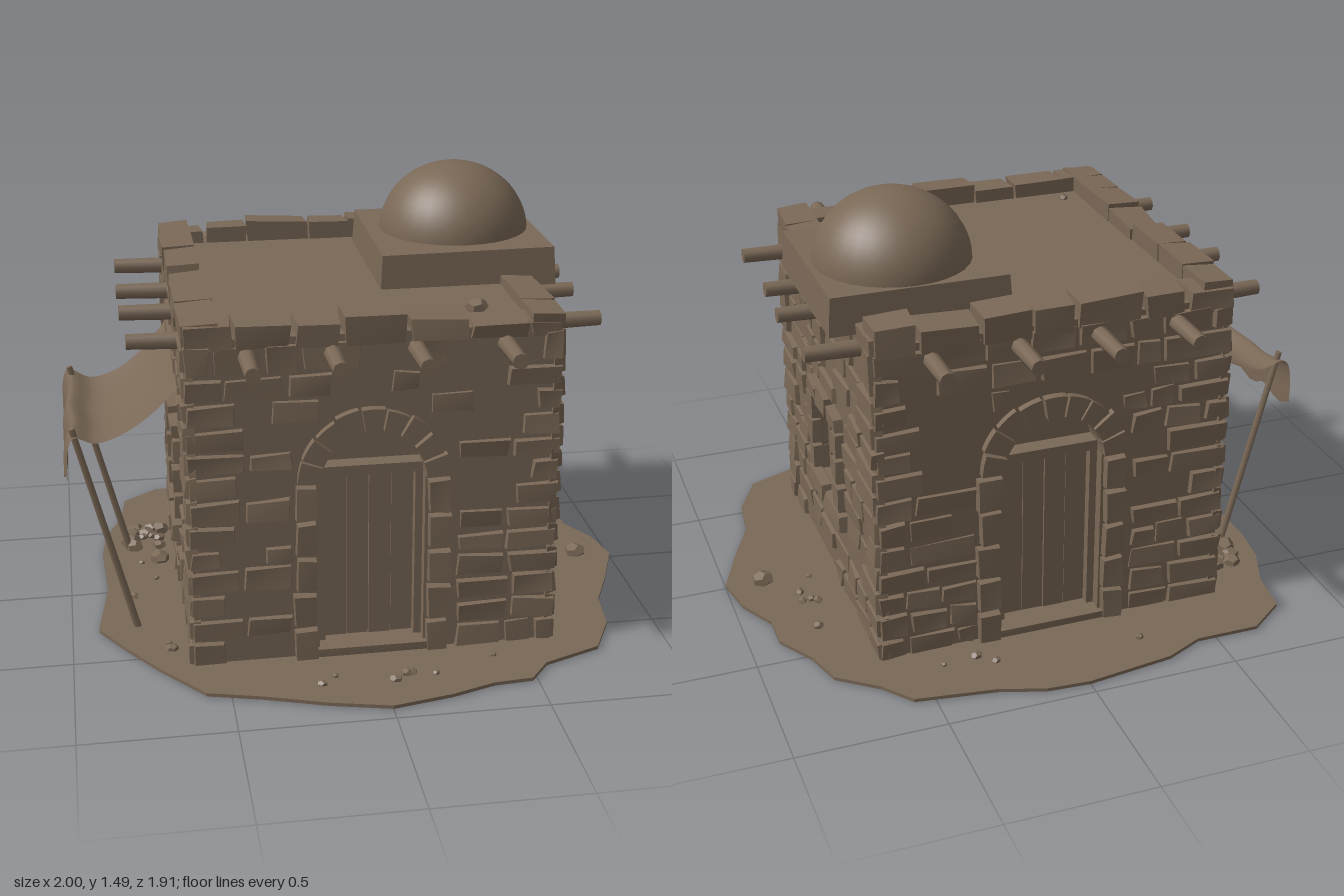
import * as THREE from 'three';
import { mergeGeometries } from 'three/addons/utils/BufferGeometryUtils.js';

const clay = new THREE.MeshStandardMaterial({ color: 0x7a6856 });
clay.name = 'brown clay';
const cloth = new THREE.MeshStandardMaterial({ color: 0x7a6856, side: THREE.DoubleSide });
cloth.name = 'brown cloth';

let seed = 7;
const rnd = (a = 0, b = 1) => {
  seed = (seed * 16807) % 2147483647;
  return a + (b - a) * (seed / 2147483647);
};

function add(parent, name, geo, mat = clay) {
  const m = new THREE.Mesh(geo, mat);
  m.name = name;
  parent.add(m);
  return m;
}

const box = (x0, x1, y0, y1, z0, z1) =>
  new THREE.BoxGeometry(x1 - x0, y1 - y0, z1 - z0).translate((x0 + x1) / 2, (y0 + y1) / 2, (z0 + z1) / 2);

// Rough hewn stone: a box whose +z face is drawn in and whose corners wander
function stone(x0, x1, y0, y1, z0, z1, inset = 0.008, rough = 0.006) {
  const g = box(x0, x1, y0, y1, z0, z1), p = g.attributes.position;
  const cx = (x0 + x1) / 2, cy = (y0 + y1) / 2, cz = (z0 + z1) / 2;
  const off = Array.from({ length: 4 }, () => [rnd(-rough, rough), rnd(-rough, rough), rnd(-rough, rough)]);
  for (let i = 0; i < p.count; i++) {
    const sx = p.getX(i) > cx, sy = p.getY(i) > cy, front = p.getZ(i) > cz;
    const o = off[(sx ? 1 : 0) + (sy ? 2 : 0)], k = front ? inset : 0;
    p.setXYZ(i, p.getX(i) + o[0] + (sx ? -k : k), p.getY(i) + o[1] + (sy ? -k : k), p.getZ(i) + (front ? o[2] : 0));
  }
  g.computeVertexNormals();
  return g;
}

// Curved block of an arch, seen from +z
function archStone(cx, cy, r0, r1, a0, a1, z0, z1) {
  const s = new THREE.Shape();
  s.absarc(cx, cy, r1, a0, a1, false);
  s.absarc(cx, cy, r0, a1, a0, true);
  return new THREE.ExtrudeGeometry(s, { depth: z1 - z0, bevelEnabled: false, curveSegments: 4 }).translate(0, 0, z0);
}

const DOOR = { x: -0.01, w: 0.175, spring: 0.64 };

// Wall slab with its opening cut through
function wallSlab(isDoor) {
  const s = new THREE.Shape([[-0.6, 0], [0.6, 0], [0.6, 1.14], [-0.6, 1.14]].map(a => new THREE.Vector2(...a)));
  const h = new THREE.Path();
  if (isDoor) {
    h.moveTo(DOOR.x - DOOR.w, 0.02);
    h.lineTo(DOOR.x + DOOR.w, 0.02);
    h.lineTo(DOOR.x + DOOR.w, DOOR.spring);
    h.absarc(DOOR.x, DOOR.spring, DOOR.w, 0, Math.PI, false);
  } else {
    h.moveTo(-0.13, 0.35); h.lineTo(0.13, 0.35); h.lineTo(0.13, 0.66); h.lineTo(-0.13, 0.66);
  }
  h.closePath();
  s.holes.push(h);
  return new THREE.ExtrudeGeometry(s, { depth: 0.1, bevelEnabled: false, curveSegments: 10 }).translate(0, 0, 0.5);
}

// Uneven stone courses leaving the opening and some bare plaster
function courses(isDoor) {
  const out = [], half = isDoor ? 0.27 : 0.21;
  const [o0, o1] = isDoor ? [0, 0.88] : [0.27, 0.71];
  for (let y = 0.005, row = 0; y < 1.1; row++) {
    const y1 = y + rnd(0.075, 0.095) > 1.06 ? 1.13 : y + rnd(0.075, 0.095);
    let hw = half;
    if (isDoor && y > DOOR.spring) hw = Math.sqrt(Math.max(0, 0.27 ** 2 - (y - DOOR.spring) ** 2));
    const spans = y < o1 && y1 > o0 ? [[-0.615, -hw], [hw, 0.615]] : [[-0.615, 0.615]];
    for (const [a, b] of spans) {
      for (let x = a; x < b - 0.01;) {
        let x1 = x + rnd(0.09, 0.2);
        if (b - x1 < 0.07) x1 = b;
        const corner = x < -0.6 || x1 > 0.6;
        const bare = isDoor ? (y > 0.42 && y < 1.03 ? 0.6 : 0.2) : 0.12;
        if (corner || rnd() > bare) {
          const top = y1 - rnd(0.003, 0.01);
          out.push(stone(x + 0.003, x1 - 0.003, y, top, 0.58, corner ? 0.617 : rnd(0.606, 0.617)));
        }
        x = x1;
      }
    }
    y = y1;
  }
  return mergeGeometries(out);
}

function doorway(g) {
  const { x, w, spring } = DOOR, frame = [];
  // Jamb stones and arch stones
  for (const s of [-1, 1]) {
    for (let i = 0; i < 5; i++) {
      const h = spring / 5, a = x + s * 0.18, b = x + s * rnd(0.255, 0.27);
      frame.push(stone(Math.min(a, b), Math.max(a, b), i * h, (i + 1) * h - 0.006, 0.55, 0.63, 0.006, 0.004));
    }
  }
  add(g, 'doorJambs', mergeGeometries(frame));
  const arch = [], n = 9, step = Math.PI / n;
  for (let i = 0; i < n; i++) {
    arch.push(archStone(x, spring, 0.175, rnd(0.245, 0.262), i * step + 0.02, (i + 1) * step - 0.02, 0.55, rnd(0.622, 0.632)));
  }
  add(g, 'doorArch', mergeGeometries(arch));
  // Timber frame, planks and threshold
  add(g, 'doorFrame', mergeGeometries([
    box(x - w, x - w + 0.025, 0.02, 0.67, 0.5, 0.56), box(x + w - 0.025, x + w, 0.02, 0.67, 0.5, 0.56),
    box(x - w, x + w, 0.64, 0.675, 0.5, 0.565)]));
  const planks = [];
  for (let i = 0; i < 4; i++) {
    const a = x - 0.15 + i * 0.075;
    planks.push(box(a + 0.001, a + 0.074, 0.04, 0.64, 0.5, rnd(0.527, 0.533)));
  }
  add(g, 'doorPlanks', mergeGeometries(planks));
  add(g, 'threshold', stone(x - 0.2, x + 0.2, 0, 0.045, 0.5, 0.62, 0.005, 0.003));
}

function windowUnit(g) {
  const f = [];
  for (const s of [-1, 1]) {
    for (let i = 0; i < 3; i++) {
      const a = s * 0.125, b = s * rnd(0.185, 0.21), y = 0.35 + i * 0.1;
      f.push(stone(Math.min(a, b), Math.max(a, b), y, y + 0.095, 0.55, 0.63, 0.006, 0.004));
    }
  }
  // Lintel and sill stones
  [[-0.19, -0.07, 0.705], [-0.065, 0.065, 0.725], [0.07, 0.19, 0.705]].forEach(([a, b, t]) =>
    f.push(stone(a, b, 0.645, t, 0.55, 0.632, 0.006, 0.005)));
  f.push(stone(-0.21, -0.01, 0.275, 0.345, 0.55, 0.635), stone(0, 0.22, 0.275, 0.345, 0.55, 0.635));
  add(g, 'windowSurround', mergeGeometries(f));
  add(g, 'windowFrame', mergeGeometries([
    box(-0.13, -0.105, 0.35, 0.65, 0.5, 0.575), box(0.105, 0.13, 0.35, 0.65, 0.5, 0.575),
    box(-0.13, 0.13, 0.35, 0.372, 0.5, 0.575), box(-0.13, 0.13, 0.63, 0.655, 0.5, 0.575),
    box(-0.012, 0.012, 0.36, 0.64, 0.5, 0.565), box(-0.11, 0.11, 0.495, 0.51, 0.5, 0.545)]));
}

function parapet(side) {
  const out = [];
  for (let x = -0.61; x < 0.6;) {
    let x1 = x + rnd(0.15, 0.24);
    if (0.61 - x1 < 0.1) x1 = 0.61;
    const top = side === 0 && x > 0.15 ? 1.155 : side === 1 && x < 0.45 ? 1.175 : rnd(1.185, 1.21);
    out.push(stone(x + 0.002, x1 - 0.002, 1.1, top, 0.495 + rnd(0, 0.012), 0.615, 0.007, 0.007));
    x = x1;
  }
  return mergeGeometries(out);
}

function rod(a, b, r, sides) {
  const d = b.clone().sub(a);
  return new THREE.CylinderGeometry(r * 0.85, r, d.length(), sides)
    .applyQuaternion(new THREE.Quaternion().setFromUnitVectors(new THREE.Vector3(0, 1, 0), d.clone().normalize()))
    .translate(...a.clone().add(b).multiplyScalar(0.5).toArray());
}

// Sagging cloth on two leaning poles, with a hanging front flap
function awning() {
  const g = new THREE.Group();
  g.name = 'awning';
  const curve = new THREE.CatmullRomCurve3([[-0.61, 0.9], [-0.69, 0.81], [-0.79, 0.735], [-0.89, 0.705], [-0.965, 0.735],
    [-0.985, 0.69], [-0.99, 0.58]].map(([x, y]) => new THREE.Vector3(x, y, 0)));
  const geo = new THREE.PlaneGeometry(1, 1, 24, 14), p = geo.attributes.position;
  for (let i = 0; i < p.count; i++) {
    const u = p.getX(i) + 0.5, v = p.getY(i) * 2, c = curve.getPoint(u);
    const sag = (1 - v * v) * 0.035, narrow = 1 - 0.1 * Math.sin(Math.PI * Math.min(1, u * 1.4));
    p.setXYZ(i, c.x + 0.008 * Math.sin(v * 7) * u, c.y - sag + (u > 0.95 ? 0.02 * Math.sin(v * 9) : 0), -0.015 + v * 0.35 * narrow);
  }
  geo.computeVertexNormals();
  add(g, 'awningCloth', geo, cloth);
  for (const z of [-0.32, 0.29]) {
    add(g, 'awningPole', rod(new THREE.Vector3(-0.775, 0, z), new THREE.Vector3(-0.965, 0.755, z), 0.013, 7));
  }
  return g;
}

export function createModel() {
  seed = 7;
  const model = new THREE.Group();
  model.name = 'desertHouse';

  // Ragged patch of ground
  const rim = [[0, -0.96], [-0.3, -0.92], [-0.43, -0.86], [-0.65, -0.86], [-0.78, -0.76], [-0.8, -0.6], [-0.86, -0.45],
    [-0.88, -0.3], [-0.87, 0], [-0.91, 0.3], [-0.82, 0.45], [-0.72, 0.6], [-0.58, 0.78], [-0.4, 0.83], [-0.2, 0.9], [0, 0.95],
    [0.2, 0.91], [0.35, 0.86], [0.48, 0.85], [0.55, 0.76], [0.75, 0.68], [0.83, 0.52], [0.85, 0.35], [0.92, 0.2], [1, 0],
    [0.97, -0.15], [0.9, -0.28], [0.9, -0.4], [0.82, -0.53], [0.78, -0.66], [0.65, -0.76], [0.57, -0.86], [0.3, -0.9], [0.15, -0.95]];
  const patch = new THREE.Shape(rim.map(([x, z]) => new THREE.Vector2(x, -z)));
  add(model, 'ground', new THREE.ExtrudeGeometry(patch, { depth: 0.012, bevelEnabled: false }).rotateX(-Math.PI / 2));

  const house = new THREE.Group();
  house.name = 'house';
  house.position.z = -0.012;
  model.add(house);
  add(house, 'coreAndRoof', box(-0.505, 0.505, 0, 1.14, -0.505, 0.505));

  // Four sides: doors front and back, windows left and right
  const beamSpots = [[-0.41, -0.14, 0.13, 0.42], [-0.41, -0.09, 0.13, 0.45], [-0.42, -0.13, 0.14, 0.41], [-0.44, -0.13, 0.11, 0.41]];
  beamSpots.forEach((spots, k) => {
    const g = new THREE.Group(), isDoor = k % 2 === 0;
    g.name = ['frontSide', 'leftSide', 'backSide', 'rightSide'][k];
    g.rotation.y = k * Math.PI / 2;
    house.add(g);
    add(g, 'wall', wallSlab(isDoor));
    add(g, 'wallStones', courses(isDoor));
    add(g, 'parapet', parapet(k));
    if (isDoor) doorway(g); else windowUnit(g);
    for (const x of spots) {
      add(g, 'roofBeam', rod(new THREE.Vector3(x, 1.08, 0.5), new THREE.Vector3(x, 1.085, rnd(0.775, 0.795)), 0.031, 8));
    }
  });

  // Dome on its square plinth
  add(model, 'domePlinth', stone(0.09, 0.7, -0.155, 0.465, 1.13, 1.255, 0.008, 0.006).rotateX(-Math.PI / 2));
  add(model, 'dome', new THREE.SphereGeometry(0.262, 32, 14, 0, Math.PI * 2, 0, Math.PI / 2)
    .scale(1, 0.93, 1).translate(0.412, 1.246, -0.19));

  model.add(awning());

  // Loose rubble on the ground and roof
  const spots = [[0.87, 0.015, -0.02, 0.04], [0.36, 1.145, 0.42, 0.04], [-0.43, 1.14, 0.42, 0.02]];
  for (let i = 0; i < 14; i++) spots.push([rnd(-0.8, -0.64), 0.015, rnd(-0.55, -0.2), rnd(0.015, 0.04)]);
  for (let i = 0; i < 40; i++) {
    const a = rnd(0, Math.PI * 2), r = rnd(0.66, 0.8) / Math.max(Math.abs(Math.cos(a)), Math.abs(Math.sin(a)));
    if (r < 0.84) spots.push([r * Math.cos(a), 0.012, r * Math.sin(a), rnd(0.01, 0.025)]);
  }
  add(model, 'rubble', mergeGeometries(spots.map(([x, y, z, s]) => new THREE.DodecahedronGeometry(s)
    .scale(1, 0.7, rnd(0.7, 1.2)).rotateY(rnd(0, 6)).translate(x, y + s * 0.2, z))));
  return model;
}
